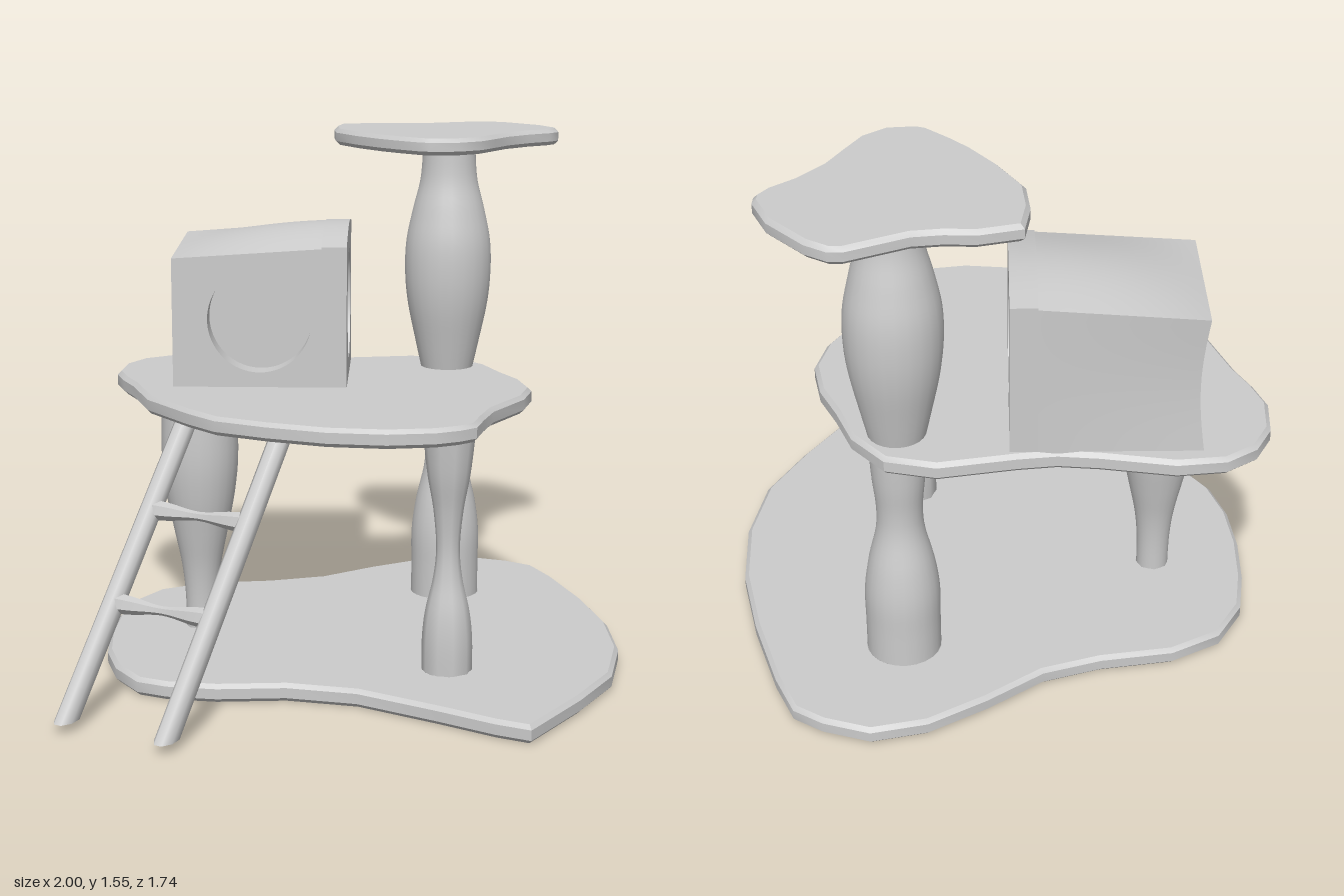
import * as THREE from 'three';
import { toCreasedNormals } from 'three/addons/utils/BufferGeometryUtils.js';

const material = new THREE.MeshStandardMaterial({ color: 0xcccccc });
const thin = new THREE.MeshStandardMaterial({ color: 0xcccccc, side: THREE.DoubleSide });

function add(parent, name, geometry, mat = material) {
  const mesh = new THREE.Mesh(geometry, mat);
  mesh.name = name;
  parent.add(mesh);
  return mesh;
}

// Slab with bevelled rim from an outline of [x, z] points; holes are [x, z, radius, sides]
function slab(outline, y, height, holes = []) {
  const shape = new THREE.Shape(outline.map(([x, z]) => new THREE.Vector2(x, -z)));
  for (const [x, z, r, n] of holes) {
    const ring = [];
    for (let i = 0; i < n; i++) {
      const a = (i / n) * Math.PI * 2;
      ring.push(new THREE.Vector2(x + r * Math.sin(a), -z + r * Math.cos(a)));
    }
    shape.holes.push(new THREE.Path(ring));
  }
  const bevel = 0.012;
  const g = new THREE.ExtrudeGeometry(shape, {
    depth: height - 2 * bevel, bevelEnabled: true, bevelThickness: bevel,
    bevelSize: bevel, bevelOffset: -bevel, bevelSegments: 1,
  });
  g.rotateX(-Math.PI / 2).translate(0, y + bevel, 0);
  return toCreasedNormals(g, 0.6);
}

// Turned post: smooth profile through [radius, y] points, capped at both ends
function turned(profile, sides) {
  const curve = new THREE.SplineCurve(profile.map(p => new THREE.Vector2(...p)));
  const pts = curve.getPoints(profile.length * 4);
  pts.unshift(new THREE.Vector2(0, pts[0].y));
  pts.push(new THREE.Vector2(0, pts[pts.length - 1].y));
  return toCreasedNormals(new THREE.LatheGeometry(pts, sides), 0.9);
}

// Box-shaped den with a domed roof, two round recesses and a back corner that sags inwards
function createDen() {
  const den = new THREE.Group();
  den.name = 'den';
  const W = 0.468, D = 0.525, floor = 0.795, thick = 0.075;
  const roofY = (s, t) => 1.19 + 0.035 * s + 0.02 * t + 0.005 * s * t
    + 0.038 * Math.sin(Math.PI * t) * Math.sin(Math.PI * s * 0.7);

  // Front walls: recess is [centre height, half width, half height]
  const recessedWall = (name, length, top, x, z, turn, [y, rx, ry]) => {
    const side = new THREE.Group();
    side.name = name;
    side.position.set(x, 0, z);
    side.rotation.y = turn;
    den.add(side);
    const shape = new THREE.Shape();
    shape.moveTo(-length / 2, floor);
    shape.lineTo(length / 2, floor);
    for (let i = 16; i >= 0; i--) shape.lineTo((i / 16 - 0.5) * length, top(i / 16));
    const hole = new THREE.Path();
    hole.absellipse(0, y, rx, ry, 0, Math.PI * 2, true);
    shape.holes.push(hole);
    const back = new THREE.CircleGeometry(1, 48).scale(rx + 0.01, ry + 0.01, 1);
    add(side, name + 'RecessBack', back.translate(0, y, 0.002 - thick));
    const g = new THREE.ExtrudeGeometry(shape, { depth: thick, bevelEnabled: false, curveSegments: 32 });
    add(side, name + 'Panel', toCreasedNormals(g.translate(0, 0, -thick), 0.6));
  };
  recessedWall('denFront', W, u => roofY(1, u), 0, D / 2, 0, [1.02, 0.143, 0.17]);
  recessedWall('denEntrance', D, u => roofY(u, 0), -W / 2, 0, -Math.PI / 2, [1.005, 0.157, 0.16]);

  // Surfaces set by a rule: place(u, v) gives s (depth), t (width) and height
  const surface = (name, place) => {
    const g = new THREE.PlaneGeometry(1, 1, 16, 16);
    const p = g.attributes.position;
    for (let i = 0; i < p.count; i++) {
      const [s, t, y] = place(p.getX(i) + 0.5, p.getY(i) + 0.5);
      const sag = 0.018 * (1 - s) * t * Math.sin(Math.PI * (y - floor) / (roofY(s, t) - floor));
      p.setXYZ(i, (t - 0.5) * W - sag * 0.5, y, (s - 0.5) * D + sag);
    }
    g.computeVertexNormals();
    add(den, name, g, thin);
  };
  const rise = (s, t, v) => [s, t, floor + (roofY(s, t) - floor) * v];
  surface('denSide', (u, v) => rise(1 - u, 1, v));
  surface('denBack', (u, v) => rise(0, 1 - u, v));
  surface('denRoof', (u, v) => rise(1 - v, u, 1));

  den.position.set(0.121, 0, -0.422);
  den.rotation.y = 0.703;
  return den;
}

// Sloping ladder: sheared rails with level ends, and waisted rungs
function createLadder() {
  const ladder = new THREE.Group();
  ladder.name = 'ladder';
  const feet = [new THREE.Vector3(-0.953, 0.028, -0.14), new THREE.Vector3(-0.87, 0.028, 0.17)];
  const run = new THREE.Vector3(0.635, 0.73, -0.165);
  for (const foot of feet) {
    const g = new THREE.CylinderGeometry(1, 1, 1, 8).rotateY(Math.PI / 8);
    g.scale(0.049, 1, 0.031).translate(0, 0.5, 0).rotateY(0.26);
    const p = g.attributes.position;
    for (let i = 0; i < p.count; i++) {
      const t = p.getY(i);
      p.setXYZ(i, p.getX(i) + foot.x + run.x * t, foot.y + run.y * t, p.getZ(i) + foot.z + run.z * t);
    }
    add(ladder, 'ladderRail', toCreasedNormals(g, 1.1));
  }
  for (const t of [0.365, 0.67]) {
    const [a, b] = feet.map(f => f.clone().addScaledVector(run, t));
    const span = b.clone().sub(a), len = span.length();
    const rung = add(ladder, 'ladderRung',
      turned([[0.03, 0], [0.025, len * 0.2], [0.013, len * 0.5], [0.025, len * 0.8], [0.03, len]], 6));
    rung.position.copy(a);
    rung.quaternion.setFromUnitVectors(new THREE.Vector3(0, 1, 0), span.normalize());
  }
  return ladder;
}

export function createModel() {
  const model = new THREE.Group();
  model.name = 'catTree';

  // Base with sockets under the posts
  add(model, 'base', slab([
    [1, -0.02], [0.985, -0.12], [0.93, -0.25], [0.8, -0.35], [0.62, -0.415], [0.43, -0.465], [0.28, -0.56],
    [0.12, -0.7], [-0.03, -0.76], [-0.18, -0.735], [-0.3, -0.66], [-0.43, -0.555], [-0.54, -0.44],
    [-0.615, -0.32], [-0.65, -0.19], [-0.62, -0.1], [-0.54, 0.02], [-0.4, 0.16], [-0.3, 0.34],
    [-0.25, 0.59], [-0.22, 0.77], [-0.19, 0.87], [0.085, 0.835], [0.3, 0.79], [0.5, 0.675], [0.67, 0.515],
    [0.81, 0.325], [0.94, 0.11],
  ], 0, 0.054, [[0.588, -0.07, 0.098, 24], [-0.187, -0.4, 0.038, 8], [0.007, 0.415, 0.062, 8]]));

  // Middle platform
  add(model, 'middlePlatform', slab([
    [0.02, -0.873], [-0.08, -0.85], [-0.18, -0.775], [-0.23, -0.69], [-0.27, -0.6], [-0.37, -0.43],
    [-0.42, -0.21], [-0.437, -0.08], [-0.395, 0.08], [-0.33, 0.25], [-0.235, 0.39], [-0.13, 0.48],
    [-0.06, 0.51], [0, 0.52], [0.085, 0.477], [0.19, 0.43], [0.38, 0.395], [0.49, 0.34], [0.57, 0.24],
    [0.62, 0.13], [0.685, 0.01], [0.707, -0.13], [0.64, -0.26], [0.47, -0.4], [0.39, -0.475],
    [0.325, -0.57], [0.22, -0.75], [0.12, -0.845],
  ], 0.745, 0.055));

  // Top perch
  add(model, 'topPerch', slab([
    [0.52, -0.465], [0.62, -0.395], [0.67, -0.33], [0.73, -0.275], [0.89, -0.2], [0.915, -0.17],
    [0.925, -0.1], [0.905, 0.05], [0.855, 0.15], [0.83, 0.17], [0.78, 0.175], [0.7, 0.16], [0.59, 0.16],
    [0.5, 0.18], [0.41, 0.198], [0.325, 0.18], [0.265, 0.12], [0.255, 0.09], [0.26, 0], [0.27, -0.08],
    [0.3, -0.2], [0.35, -0.33], [0.43, -0.41],
  ], 1.498, 0.05));

  // Turned posts
  const posts = [
    ['tallPostLower', 0.588, -0.07, 24, [[0.108, 0.03], [0.108, 0.15], [0.108, 0.26], [0.095, 0.36],
      [0.07, 0.47], [0.066, 0.55], [0.075, 0.65], [0.082, 0.77]]],
    ['tallPostUpper', 0.588, -0.07, 24, [[0.08, 0.79], [0.1, 0.88], [0.125, 1.0], [0.135, 1.1], [0.132, 1.2],
      [0.112, 1.3], [0.088, 1.4], [0.081, 1.52]]],
    ['backPost', -0.187, -0.4, 24, [[0.048, 0.03], [0.05, 0.15], [0.06, 0.25], [0.082, 0.36], [0.105, 0.48],
      [0.116, 0.6], [0.112, 0.77]]],
    ['frontPost', 0.007, 0.415, 10, [[0.073, 0.03], [0.073, 0.14], [0.064, 0.23], [0.042, 0.33],
      [0.034, 0.42], [0.043, 0.53], [0.062, 0.64], [0.076, 0.77]]],
  ];
  for (const [name, x, z, sides, profile] of posts) {
    add(model, name, turned(profile, sides)).position.set(x, 0, z);
  }

  model.add(createDen(), createLadder());
  return model;
}
